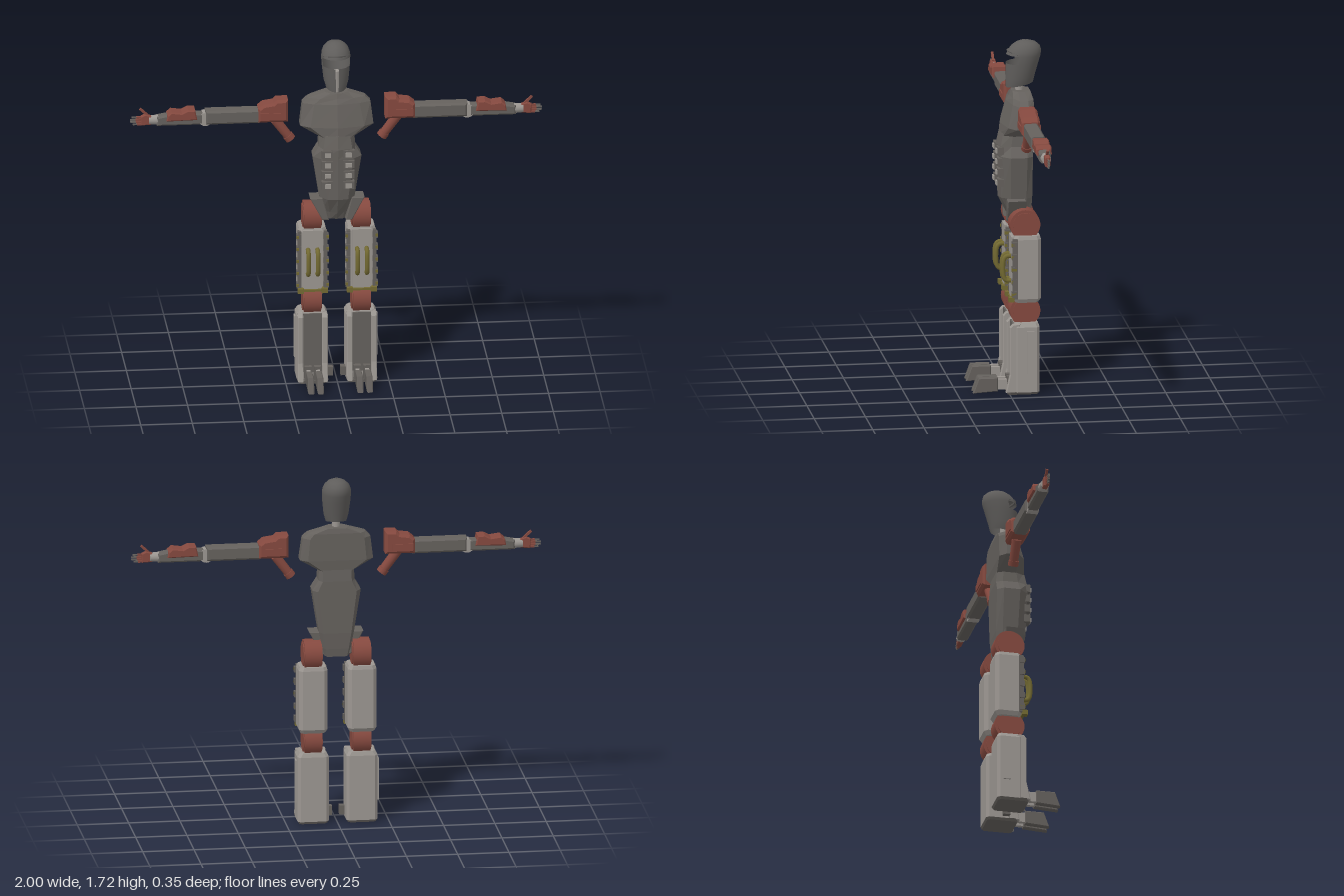
import * as THREE from 'three';

const mat = (name, color, side = THREE.FrontSide) => {
  const m = new THREE.MeshStandardMaterial({ color, side });
  m.name = name;
  return m;
};

export function createModel() {
  const iron = mat('dark iron', 0x65615d);
  const shell = mat('helmet iron', 0x5f5d5b, THREE.DoubleSide);
  const steel = mat('light steel', 0x9b9691);
  const red = mat('rust red', 0x85493f);
  const olive = mat('olive brass', 0x736a32);
  const root = new THREE.Group();
  root.name = 'robot';

  const group = (name, parent, x = 0, y = 0, z = 0) => {
    const g = new THREE.Group();
    g.name = name;
    g.position.set(x, y, z);
    parent.add(g);
    return g;
  };
  const add = (parent, name, geo, material, x = 0, y = 0, z = 0) => {
    const m = new THREE.Mesh(geo, material);
    m.name = name;
    m.position.set(x, y, z);
    parent.add(m);
    return m;
  };
  const box = (parent, name, material, w, h, d, x, y, z) =>
    add(parent, name, new THREE.BoxGeometry(w, h, d), material, x, y, z);

  // Skin over closed rings of [x, y, z], bottom to top, running from front to +x
  function loft(rings, { smooth = false, caps = true, skip = () => false } = {}) {
    const n = rings[0].length, idx = [];
    for (let i = 0; i < rings.length - 1; i++)
      for (let j = 0; j < n; j++) {
        if (skip(i, j)) continue;
        const k = (j + 1) % n, a = i * n + j, b = i * n + k;
        idx.push(a, b, b + n, a, b + n, a + n);
      }
    const top = (rings.length - 1) * n;
    if (caps) for (let j = 1; j < n - 1; j++) idx.push(0, j + 1, j, top, top + j, top + j + 1);
    let g = new THREE.BufferGeometry();
    g.setAttribute('position', new THREE.Float32BufferAttribute(rings.flat(2), 3));
    g.setIndex(idx);
    if (!smooth) g = g.toNonIndexed();
    g.computeVertexNormals();
    return g;
  }
  // Chamfered rectangle ring
  const octagon = (y, w, zf, zb, c) => [
    [w - c, y, zf], [w, y, zf - c], [w, y, zb + c], [w - c, y, zb],
    [c - w, y, zb], [-w, y, zb + c], [-w, y, zf - c], [c - w, y, zf]];
  // Side outline extruded across z and centred on it
  const slab = (points, depth, bevel = 0.004) => {
    const g = new THREE.ExtrudeGeometry(new THREE.Shape(points.map(p => new THREE.Vector2(...p))), {
      depth: depth - 2 * bevel, bevelEnabled: bevel > 0, bevelSize: bevel,
      bevelThickness: bevel, bevelOffset: -bevel, bevelSegments: 1 });
    return g.translate(0, 0, -depth / 2 + bevel);
  };

  // Torso rings: y, front corner x, half width, ridge z, corner z, side z, back z
  const bodyRing = ([y, f, w, zr, zc, zs, zb]) => [
    [0, y, zr], [f, y, zc], [w, y, zs], [w, y, zb + 0.03], [w * 0.8, y, zb],
    [-w * 0.8, y, zb], [-w, y, zb + 0.03], [-w, y, zs], [-f, y, zc]];
  const torso = group('torso', root);
  add(torso, 'chest', loft([
    [1.26, 0.06, 0.085, 0.03, 0.015, -0.03, -0.12],
    [1.315, 0.13, 0.178, 0.025, 0, -0.035, -0.125],
    [1.425, 0.11, 0.165, -0.005, -0.025, -0.05, -0.125],
    [1.45, 0.08, 0.14, -0.02, -0.03, -0.055, -0.125],
    [1.475, 0.03, 0.055, -0.03, -0.035, -0.06, -0.12]].map(bodyRing)), iron);
  add(torso, 'abdomen', loft([
    [0.83, 0.03, 0.06, -0.03, -0.035, -0.06, -0.115],
    [0.87, 0.035, 0.07, -0.005, -0.02, -0.05, -0.12],
    [0.95, 0.05, 0.085, 0.035, 0.025, -0.02, -0.125],
    [1.16, 0.075, 0.118, 0.042, 0.03, -0.015, -0.125],
    [1.21, 0.07, 0.088, 0.044, 0.028, -0.02, -0.125],
    [1.275, 0.06, 0.085, 0.03, 0.015, -0.03, -0.12]].map(bodyRing)), iron);
  for (const s of [-1, 1]) {
    for (let i = 0; i < 4; i++) {
      box(torso, 'rib bracket', iron, 0.055, 0.038, 0.03, s * 0.052, 1.188 - i * 0.053, 0.029);
      box(torso, 'rib plate', steel, 0.03, 0.022, 0.008, s * 0.05, 1.186 - i * 0.053, 0.047);
    }
    // Hip guard flaring out from the pelvis
    const pts = [[0.07, 0.95], [0.132, 0.948], [0.072, 0.835], [0.04, 0.835]].map(([x, y]) => [s * x, y]);
    add(torso, 'hip guard', slab(pts, 0.09), iron, 0, 0, -0.045);
  }
  add(torso, 'neck', new THREE.CylinderGeometry(0.02, 0.02, 0.13, 12), steel, 0, 1.515, -0.07);

  // Hollow helmet with a T-shaped opening: y, half width, front z, back z, tilt
  const half = [0, 7, 22, 40, 55, 70, 90, 110, 130, 150, 165];
  const angles = [...half, 180, ...half.slice(1).reverse().map(a => 360 - a)];
  const helmet = [
    [1.502, 0.05, -0.006, -0.138, -0.012], [1.54, 0.061, -0.004, -0.146, -0.008],
    [1.612, 0.069, -0.004, -0.165, -0.002], [1.65, 0.071, -0.008, -0.175, 0.003],
    [1.668, 0.069, -0.014, -0.178, 0], [1.692, 0.06, -0.03, -0.172, 0],
    [1.71, 0.042, -0.055, -0.152, 0], [1.718, 0.022, -0.075, -0.125, 0],
    [1.72, 0.001, -0.099, -0.101, 0]].map(([y, w, zf, zb, tilt]) => angles.map(a => {
      const t = a * Math.PI / 180, c = Math.cos(t);
      return [w * Math.sin(t), y + tilt * c, (zf + zb) / 2 + (zf - zb) / 2 * c];
    }));
  const head = group('head', root);
  add(head, 'helmet', loft(helmet, {
    smooth: true, caps: false,
    skip: (i, j) => {
      const m = Math.min(j, angles.length - 1 - j);
      return (i === 2 && m < 5) || (i < 2 && m < 1);
    } }), shell);
  // Brow ridge over the opening
  const brow = [-1, -0.5, 0, 0.5, 1].map(u => new THREE.Vector3(
    0.06 * u, 1.672 - 0.012 * u * u, -0.015 - 0.045 * u * u));
  add(head, 'brow', new THREE.TubeGeometry(new THREE.CatmullRomCurve3(brow), 12, 0.006, 6), shell);

  // Arms point along local +x and are turned half round for the other side
  for (const s of [-1, 1]) {
    const arm = group(s > 0 ? 'leftArm' : 'rightArm', root, 0, 0, -0.075);
    if (s < 0) arm.rotation.y = Math.PI;
    add(arm, 'shoulder armor', slab([[0.235, 1.335], [0.38, 1.335], [0.38, 1.405], [0.355, 1.425],
      [0.305, 1.432], [0.29, 1.447], [0.235, 1.447]], 0.09, 0.012), red);
    box(arm, 'shoulder trim', red, 0.1, 0.03, 0.1, 0.32, 1.37, 0);
    const peg = add(arm, 'shoulder peg', new THREE.CylinderGeometry(0.024, 0.022, 0.13, 10), red, 0.258, 1.285, 0);
    peg.rotation.z = -0.64;
    const tip = add(arm, 'peg tip', new THREE.CylinderGeometry(0.026, 0.026, 0.025, 10), red, 0.227, 1.243, 0);
    tip.rotation.z = -0.64;
    add(arm, 'upper arm', slab([[0.37, 1.33], [0.635, 1.33], [0.635, 1.4], [0.37, 1.4]], 0.07, 0.01), iron);
    add(arm, 'elbow', new THREE.CylinderGeometry(0.034, 0.034, 0.054, 16).rotateX(Math.PI / 2), steel, 0.635, 1.357, 0);
    add(arm, 'forearm', slab([[0.645, 1.33], [0.87, 1.33], [0.87, 1.375], [0.8, 1.388], [0.645, 1.388]], 0.056, 0.008), iron);
    add(arm, 'forearm armor', slab([[0.675, 1.358], [0.825, 1.355], [0.82, 1.385], [0.8, 1.402], [0.75, 1.395],
      [0.72, 1.41], [0.685, 1.408]], 0.076, 0.006), red);
    add(arm, 'wrist', new THREE.CylinderGeometry(0.022, 0.025, 0.045, 12).rotateZ(-Math.PI / 2), steel, 0.885, 1.355, 0);
    add(arm, 'palm', slab([[0.895, 1.333], [0.945, 1.33], [0.948, 1.375], [0.925, 1.386], [0.895, 1.376]], 0.026), red);
    for (let i = 0; i < 4; i++) {
      const len = [0.046, 0.053, 0.052, 0.04][i], y = 1.369 - i * 0.0115;
      box(arm, 'finger base', red, len / 2, 0.009, 0.012, 0.945 + len / 4, y, 0);
      box(arm, 'finger tip', iron, len / 2, 0.007, 0.008, 0.945 + len * 0.75, y, 0);
    }
    const thumb = box(arm, 'thumb', red, 0.05, 0.011, 0.012, 0.932, 1.397, 0);
    thumb.rotation.z = 0.75;
  }

  // Legs, with z measured from the model centre
  const handle = new THREE.CatmullRomCurve3([[0.56, -0.02], [0.562, 0.012], [0.578, 0.024],
    [0.665, 0.024], [0.681, 0.012], [0.683, -0.02]].map(([y, z]) => new THREE.Vector3(0, y, z)));
  const toe = [[0.055, 0.012], [0.175, 0.005], [0.148, 0.08], [0.055, 0.08]];
  for (const s of [-1, 1]) {
    const leg = group(s > 0 ? 'leftLeg' : 'rightLeg', root, s * 0.119);
    for (const [name, y] of [['hip joint', 0.838], ['knee joint', 0.41]]) {
      const disc = (r, w) => new THREE.CylinderGeometry(r, r, w, 28).rotateZ(Math.PI / 2);
      add(leg, name, disc(0.074, 0.082), red, 0, y, -0.078);
      add(leg, name + ' cap', disc(0.06, 0.092), red, 0, y, -0.078);
    }
    // Thigh block, side rails, clasps and handles
    add(leg, 'thigh', loft([octagon(0.455, 0.06, -0.03, -0.14, 0.015), octagon(0.475, 0.07, -0.02, -0.153, 0.018),
      octagon(0.77, 0.07, -0.02, -0.153, 0.018), octagon(0.787, 0.064, -0.025, -0.148, 0.018)]), steel);
    box(leg, 'thigh panel', steel, 0.092, 0.3, 0.02, 0, 0.63, -0.02);
    for (const e of [-1, 1]) {
      box(leg, 'thigh rail', iron, 0.016, 0.3, 0.026, e * 0.063, 0.625, -0.026);
      for (let i = 0; i < 5; i++) {
        const y = 0.5 + i * 0.062;
        box(leg, 'clasp', iron, 0.024, 0.03, 0.024, e * 0.066, y, -0.022);
        box(leg, 'clasp pin', olive, 0.012, 0.014, 0.026, e * 0.072, y, -0.02);
      }
      add(leg, 'handle', new THREE.TubeGeometry(handle, 28, 0.011, 8), olive, e * 0.023, 0, 0);
      box(leg, 'lower latch', olive, 0.03, 0.024, 0.028, e * 0.058, 0.474, -0.008);
    }
    box(leg, 'lower bar', olive, 0.1, 0.01, 0.014, 0, 0.472, -0.012);

    // Shin block with raised front posts round a dark recess
    add(leg, 'shin', loft([octagon(0.012, 0.076, -0.02, -0.145, 0.014), octagon(0.335, 0.076, -0.02, -0.145, 0.014),
      octagon(0.355, 0.064, -0.028, -0.138, 0.014)]), steel);
    add(leg, 'sole', loft([octagon(0, 0.068, 0.01, -0.138, 0.012), octagon(0.014, 0.076, 0.012, -0.145, 0.014)]), iron);
    box(leg, 'shin recess', iron, 0.09, 0.3, 0.008, 0, 0.2, -0.0195);
    for (const e of [-1, 1]) {
      // Post outline in (z, y), turned so its depth runs along x
      const post = slab([[-0.05, 0.01], [0.02, 0.01], [0, 0.1], [0, 0.335], [-0.015, 0.352], [-0.05, 0.352]], 0.027);
      add(leg, 'shin post', post.rotateY(-Math.PI / 2), steel, e * 0.059, 0, 0);
      const toes = slab(toe, 0.03).rotateY(-Math.PI / 2);
      add(leg, 'toe', toes, iron, e * 0.023, 0, 0);
      box(leg, 'toe link', steel, 0.02, 0.05, 0.085, e * 0.023, 0.045, 0.02);
      box(leg, 'toe hood', iron, 0.034, 0.07, 0.03, e * 0.023, 0.05, -0.005);
    }
    box(leg, 'outer plate', steel, 0.012, 0.21, 0.036, s * 0.078, 0.21, -0.1);
    box(leg, 'ankle peg', iron, 0.03, 0.045, 0.035, -s * 0.086, 0.044, -0.05);
  }
  return root;
}
